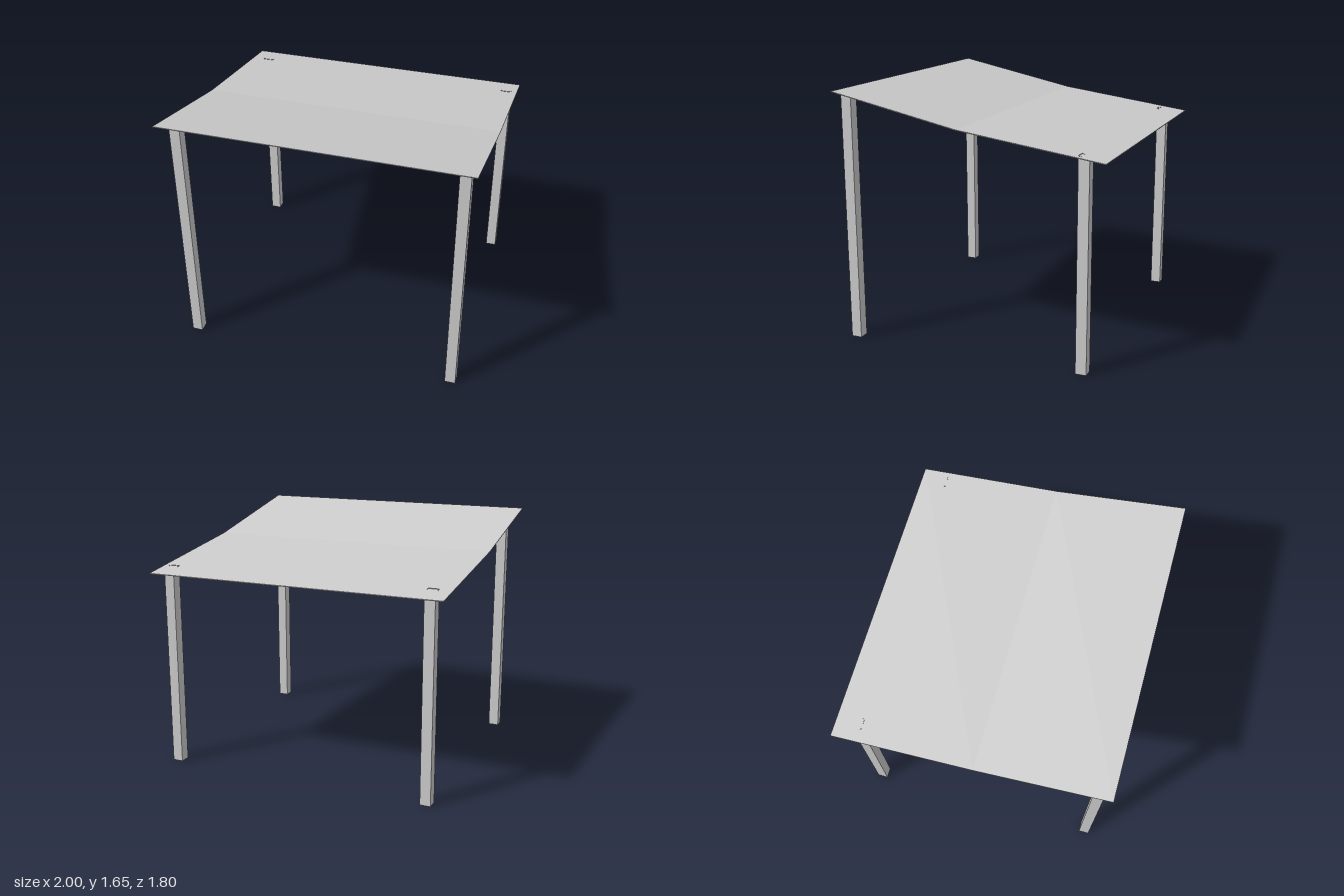
import * as THREE from 'three';

export function createModel() {
  const group = new THREE.Group();
  const material = new THREE.MeshStandardMaterial({ color: 0xcccccc, flatShading: true, side: THREE.DoubleSide });

  // Thin canopy sheet: a bent side profile (z, y) swept across the width
  const t = 0.005;
  const profile = [[0.9, 1.646], [0.04, 1.462], [-0.9, 1.331]];
  const upper = profile.map(([z, y]) => new THREE.Vector2(-z, y));
  const lower = profile.map(([z, y]) => new THREE.Vector2(-z, y - t)).reverse();
  const roofGeometry = new THREE.ExtrudeGeometry(new THREE.Shape([...upper, ...lower]), { depth: 2, bevelEnabled: false });
  roofGeometry.translate(0, 0, -1);
  roofGeometry.rotateY(Math.PI / 2);
  const roof = new THREE.Mesh(roofGeometry, material);
  roof.name = 'roof';
  group.add(roof);

  // Hollow square posts with open ends, the top cut at a slant
  const width = 0.07;
  function addPost(name, x, z, frontTop, backTop) {
    const geometry = new THREE.CylinderGeometry(width / Math.SQRT2, width / Math.SQRT2, 1, 4, 1, true);
    geometry.rotateY(Math.PI / 4);
    const p = geometry.attributes.position;
    for (let i = 0; i < p.count; i++) {
      const top = p.getZ(i) > 0 ? frontTop : backTop;
      p.setY(i, p.getY(i) > 0 ? top : 0);
    }
    geometry.computeVertexNormals();
    const post = new THREE.Mesh(geometry, material);
    post.name = name;
    post.position.set(x, 0, z);
    group.add(post);
  }
  for (const [side, x] of [['Right', -0.88], ['Left', 0.924]]) {
    addPost('front' + side + 'Post', x, 0.82, 1.629, 1.615);
    addPost('back' + side + 'Post', x, -0.755, 1.359, 1.342);
  }
  return group;
}
